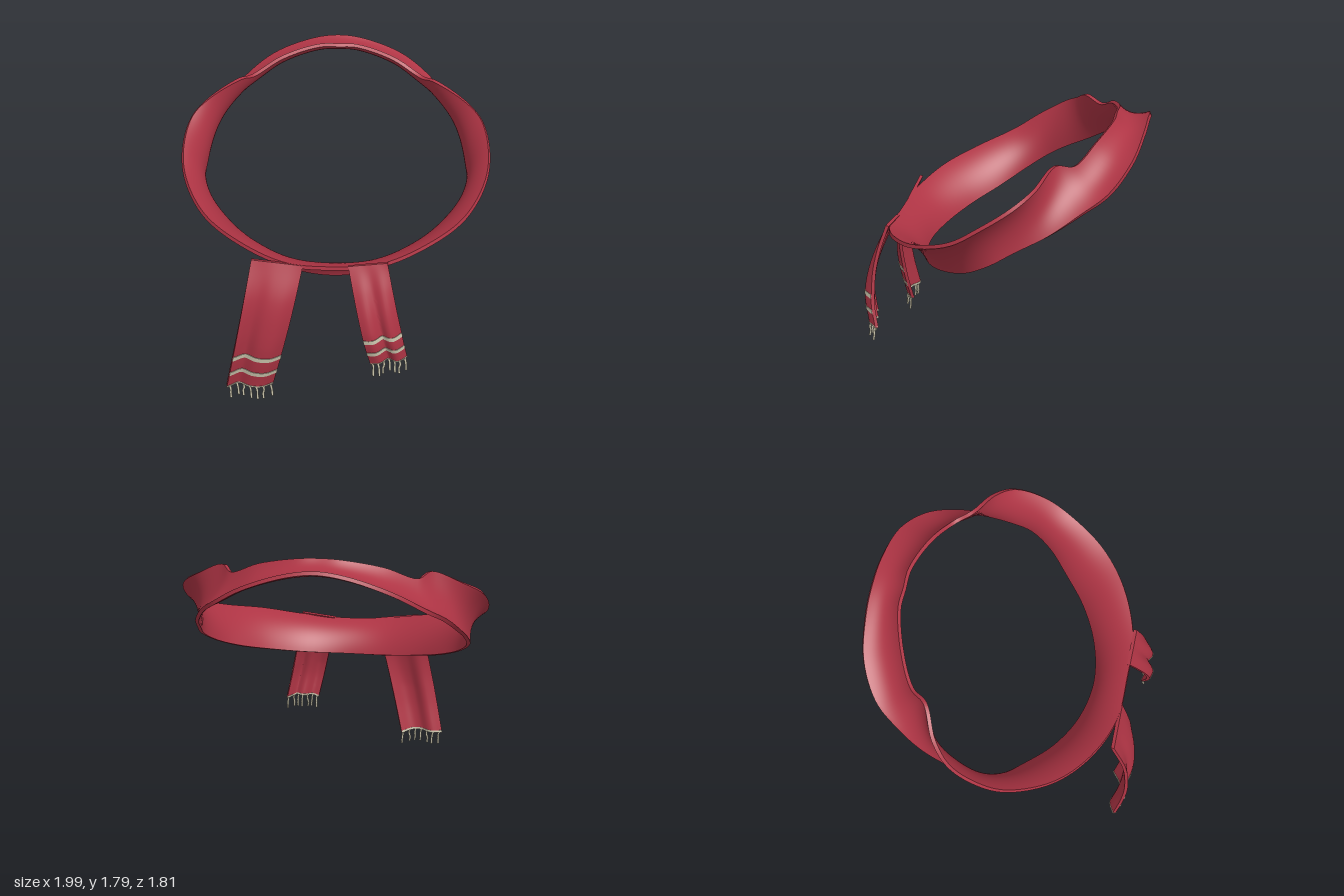
import * as THREE from 'three';
import { toCreasedNormals } from 'three/addons/utils/BufferGeometryUtils.js';

const V = (x, y, z) => new THREE.Vector3(x, y, z);
const lerp = THREE.MathUtils.lerp;

// Surface normal of a sheet point(t, u)
function normalAt(point, t, u) {
  const e = 0.002;
  const dt = point(t + e, u).sub(point(t - e, u));
  const du = point(t, u + e).sub(point(t, u - e));
  return dt.cross(du).normalize();
}

// Solid cloth sheet of half thickness h, following point(t, u)
function sheet(point, { t0 = 0, t1 = 1, rows = 32, cols = 16, h = 0.012, offset = 0, closed = false }) {
  const pos = [], index = [], K = 2 * (cols + 1);
  const rings = closed ? rows : rows + 1;
  for (let i = 0; i < rings; i++) {
    const t = lerp(t0, t1, i / rows);
    for (let k = 0; k < K; k++) {
      const front = k <= cols;
      const u = (front ? k : K - 1 - k) / cols;
      const p = point(t, u).addScaledVector(normalAt(point, t, u), offset + (front ? h : -h));
      pos.push(p.x, p.y, p.z);
    }
  }
  for (let i = 0; i < rows; i++) {
    for (let k = 0; k < K; k++) {
      const a = i * K, b = ((i + 1) % rings) * K, n = (k + 1) % K;
      index.push(a + k, b + k, b + n, a + k, b + n, a + n);
    }
  }
  if (!closed) {
    const e = rows * K;
    for (let k = 0; k < cols; k++) {
      const q = [k, k + 1, K - 2 - k, K - 1 - k];
      index.push(q[0], q[1], q[2], q[0], q[2], q[3]);
      index.push(e + q[0], e + q[2], e + q[1], e + q[0], e + q[3], e + q[2]);
    }
  }
  const g = new THREE.BufferGeometry();
  g.setAttribute('position', new THREE.Float32BufferAttribute(pos, 3));
  g.setIndex(index);
  return toCreasedNormals(g, 0.8);
}

// Closed curve from half a loop, mirrored in x
function mirroredLoop(half) {
  const right = half.map(p => V(...p));
  const left = right.slice(1, -1).reverse().map(p => V(-p.x, p.y, p.z));
  return new THREE.CatmullRomCurve3([...right, ...left], true, 'centripetal');
}

export function createModel() {
  const model = new THREE.Group();
  model.name = 'scarf';
  const red = new THREE.MeshStandardMaterial({ name: 'red wool', color: 0xae3444 });
  const cream = new THREE.MeshStandardMaterial({ name: 'cream wool', color: 0xc9c3ab });
  const add = (parent, name, geometry, material) => {
    const m = new THREE.Mesh(geometry, material);
    m.name = name;
    parent.add(m);
    return m;
  };

  // Neck loop: a hollowed band that twists from front to back
  const upperEdge = mirroredLoop([
    [0, 0.965, 0.73], [0.3, 0.985, 0.715], [0.6, 1.06, 0.59], [0.82, 1.13, 0.4], [0.96, 1.24, 0.14],
    [0.985, 1.36, -0.04], [0.94, 1.48, -0.22], [0.83, 1.56, -0.33], [0.64, 1.65, -0.42],
    [0.56, 1.625, -0.52], [0.37, 1.71, -0.62], [0.13, 1.765, -0.69], [0, 1.77, -0.69]]);
  const lowerEdge = mirroredLoop([
    [0, 0.775, 0.53], [0.27, 0.79, 0.48], [0.5, 0.84, 0.36], [0.68, 0.91, 0.2], [0.81, 0.99, 0.06],
    [0.87, 1.08, -0.08], [0.86, 1.17, -0.22], [0.82, 1.28, -0.42], [0.74, 1.4, -0.6],
    [0.64, 1.49, -0.74], [0.44, 1.62, -0.85], [0.18, 1.715, -0.89], [0, 1.74, -0.895]]);
  const band = (t, u) => {
    const w = ((t % 1) + 1) % 1, w2 = (((t + 0.004) % 1) + 1) % 1;
    const a = upperEdge.getPoint(w), b = lowerEdge.getPoint(w);
    const along = upperEdge.getPoint(w2).add(lowerEdge.getPoint(w2)).sub(a).sub(b);
    const inward = along.cross(b.clone().sub(a)).normalize();
    return a.lerp(b, u).addScaledVector(inward, 0.04 * 4 * u * (1 - u));
  };
  add(model, 'neckLoop', sheet(band, { rows: 144, closed: true }), red);

  // Hanging ends with stripes, hem and fringe
  function tail(name, { top, bottom, depth, wave, stripes }) {
    const group = new THREE.Group();
    group.name = name;
    model.add(group);
    const path = new THREE.CatmullRomCurve3(depth.map((z, i) => V(i, z, 0)));
    const ripple = new THREE.CatmullRomCurve3(wave.map((z, i) => V(i, z, 0)));
    const clamp = v => THREE.MathUtils.clamp(v, 0, 1);
    const cloth = (t, u) => {
      const x = lerp(lerp(top[0], top[2], u), lerp(bottom[0], bottom[2], u), t);
      const y = lerp(lerp(top[1], top[3], u), lerp(bottom[1], bottom[3], u), t)
        + 0.015 * t * Math.sin(Math.PI * u);
      const z = path.getPoint(clamp(t)).y + ripple.getPoint(clamp(u)).y * Math.min(1, Math.max(0, t) * 1.6);
      return V(x, y, z);
    };
    add(group, 'cloth', sheet(cloth, { rows: 40, cols: 20, h: 0.011 }), red);
    stripes.forEach(([t0, t1], i) =>
      add(group, 'stripe' + (i + 1), sheet(cloth, { t0, t1, rows: 3, cols: 20, h: 0.003, offset: 0.0115 }), cream));
    add(group, 'hem', sheet(cloth, { t0: 0.988, t1: 1.004, rows: 1, cols: 20, h: 0.013 }), cream);

    // Fringe threads
    for (let i = 0; i < 7; i++) {
      const s = cloth(1, 0.06 + 0.88 * i / 6);
      const sway = 0.006 * Math.sin(i * 2.3);
      const thread = new THREE.CatmullRomCurve3([
        s, V(s.x + 0.008, s.y - 0.03, s.z + 0.006),
        V(s.x + 0.006 + sway, s.y - 0.06, s.z + 0.004), V(s.x + 0.008 + sway, s.y - 0.095, s.z + 0.01)]);
      add(group, 'fringe' + (i + 1), new THREE.TubeGeometry(thread, 8, 0.008, 6), cream);
      const tip = add(group, 'fringeTip' + (i + 1), new THREE.SphereGeometry(0.008, 6, 4), cream);
      tip.position.copy(thread.getPoint(1));
    }
  }
  tail('longTail', {
    top: [-0.495, 1.02, -0.18, 0.98], bottom: [-0.68, 0.09, -0.385, 0.09],
    depth: [0.72, 0.815, 0.85, 0.845, 0.815], wave: [0.02, -0.015, 0.025, 0.025, -0.03],
    stripes: [[0.7, 0.735], [0.845, 0.88]],
  });
  tail('shortTail', {
    top: [0.095, 0.98, 0.335, 1.01], bottom: [0.24, 0.32, 0.47, 0.325],
    depth: [0.72, 0.795, 0.845, 0.86, 0.83], wave: [0.02, 0.03, -0.015, 0.01, -0.05],
    stripes: [[0.68, 0.72], [0.83, 0.87]],
  });
  return model;
}
